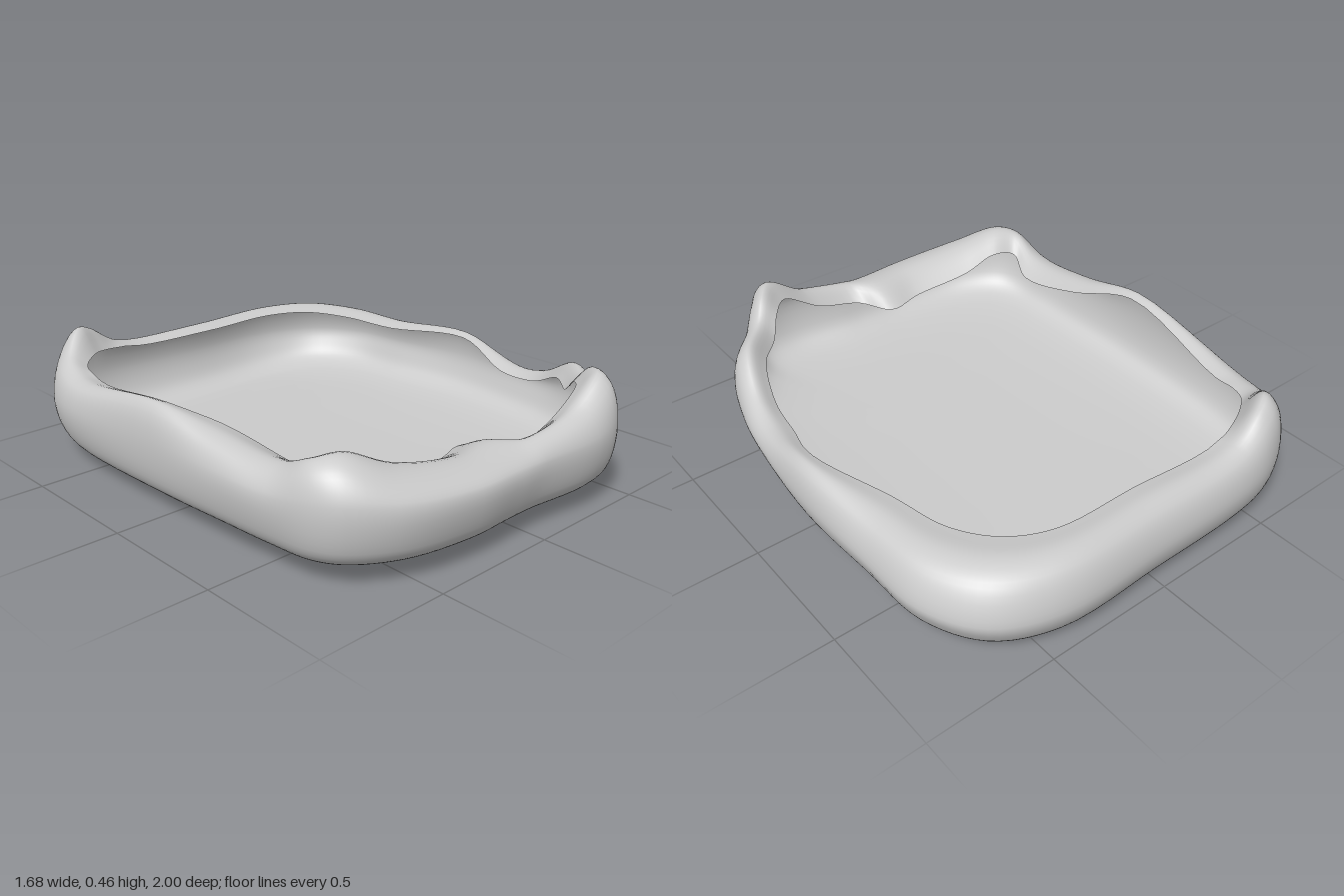
import * as THREE from 'three';

// Stations around the rim: outer x, outer z, lip x, lip z, crest height
const STATIONS = [
  [0.03, 0.97, 0.02, 0.81, 0.32], [0.29, 0.995, 0.2, 0.83, 0.365],
  [0.43, 0.97, 0.36, 0.83, 0.46], [0.5, 0.89, 0.43, 0.77, 0.45],
  [0.57, 0.81, 0.49, 0.7, 0.385], [0.70, 0.66, 0.59, 0.59, 0.375],
  [0.765, 0.48, 0.65, 0.43, 0.285], [0.80, 0.3, 0.68, 0.25, 0.255],
  [0.835, -0.04, 0.74, 0, 0.32], [0.82, -0.4, 0.64, -0.33, 0.31],
  [0.80, -0.69, 0.59, -0.57, 0.32], [0.68, -0.89, 0.49, -0.72, 0.33],
  [0.45, -0.99, 0.33, -0.8, 0.33], [0, -0.99, 0, -0.81, 0.325],
  [-0.41, -0.985, -0.4, -0.83, 0.34], [-0.55, -0.965, -0.52, -0.8, 0.42],
  [-0.64, -0.925, -0.58, -0.77, 0.445], [-0.75, -0.82, -0.66, -0.7, 0.365],
  [-0.82, -0.62, -0.69, -0.56, 0.33], [-0.84, -0.03, -0.75, -0.04, 0.405],
  [-0.83, 0.3, -0.66, 0.2, 0.36], [-0.82, 0.55, -0.63, 0.48, 0.345],
  [-0.8, 0.73, -0.67, 0.61, 0.405], [-0.74, 0.83, -0.58, 0.64, 0.42],
  [-0.57, 0.93, -0.45, 0.67, 0.36], [-0.3, 0.975, -0.22, 0.71, 0.32],
  [-0.1, 0.97, -0.06, 0.68, 0.32],
];

const AROUND = STATIONS.length * 6;
const ACROSS = 40;
const V = (x, y, z) => new THREE.Vector3(x, y, z);
const ringCurve = (f) => new THREE.CatmullRomCurve3(STATIONS.map(f), true);

// The lip hangs lower along the front and under the raised back corner
function lipDrop(z, crestY) {
  const front = 0.05 * THREE.MathUtils.smoothstep(z, 0.2, 0.75);
  const corner = z < -0.5 ? 0.8 * Math.max(crestY - 0.34, 0) : 0;
  return 0.012 + front + corner;
}

// Cross-section from the middle of the floor, up the wall, over the crest to the lip
function crossSection(outer, lip) {
  const crestY = lip.y;
  const { x, z } = outer;
  const floorY = 0.02 + 0.022 * z + 0.025 * x * x;
  const wallY = 0.13 + crestY * 0.28 + 0.04 * z - 0.025 * x;
  const inward = (t, y) => V(x + (lip.x - x) * t, y, z + (lip.z - z) * t);
  const scaled = (s, y) => V(x * s, y, z * s);
  return new THREE.CatmullRomCurve3([
    V(0, 0.008, 0),
    scaled(0.45, 0.01 + 0.009 * z),
    scaled(0.86, floorY),
    scaled(0.945, floorY + 0.035),
    scaled(0.982, floorY + 0.09),
    scaled(1, wallY),
    inward(0.2, wallY + (crestY - wallY) * 0.75),
    inward(0.55, crestY),
    inward(1, crestY - lipDrop(z, crestY)),
  ]);
}

// Thin soft shell: floor, rounded wall and a rim that curls inward
function shellGeometry() {
  const outerCurve = ringCurve((s) => V(s[0], 0, s[1]));
  const lipCurve = ringCurve((s) => V(s[2], s[4], s[3]));
  const positions = [];
  const index = [];
  for (let i = 0; i < AROUND; i++) {
    const u = i / AROUND;
    const section = crossSection(outerCurve.getPoint(u), lipCurve.getPoint(u));
    for (let j = 0; j <= ACROSS; j++) {
      const p = section.getPoint(j / ACROSS);
      positions.push(p.x, Math.max(p.y, 0), p.z);
      if (j === ACROSS) continue;
      const a = i * (ACROSS + 1) + j;
      const d = ((i + 1) % AROUND) * (ACROSS + 1) + j;
      if (j > 0) index.push(a, d, a + 1);
      index.push(d, d + 1, a + 1);
    }
  }
  const geometry = new THREE.BufferGeometry();
  geometry.setAttribute('position', new THREE.Float32BufferAttribute(positions, 3));
  geometry.setIndex(index);
  geometry.computeVertexNormals();
  return geometry;
}

export function createModel() {
  const group = new THREE.Group();
  group.name = 'softTray';
  const material = new THREE.MeshStandardMaterial({ color: 0xcccccc, side: THREE.DoubleSide });
  const shell = new THREE.Mesh(shellGeometry(), material);
  shell.name = 'trayShell';
  group.add(shell);
  return group;
}
